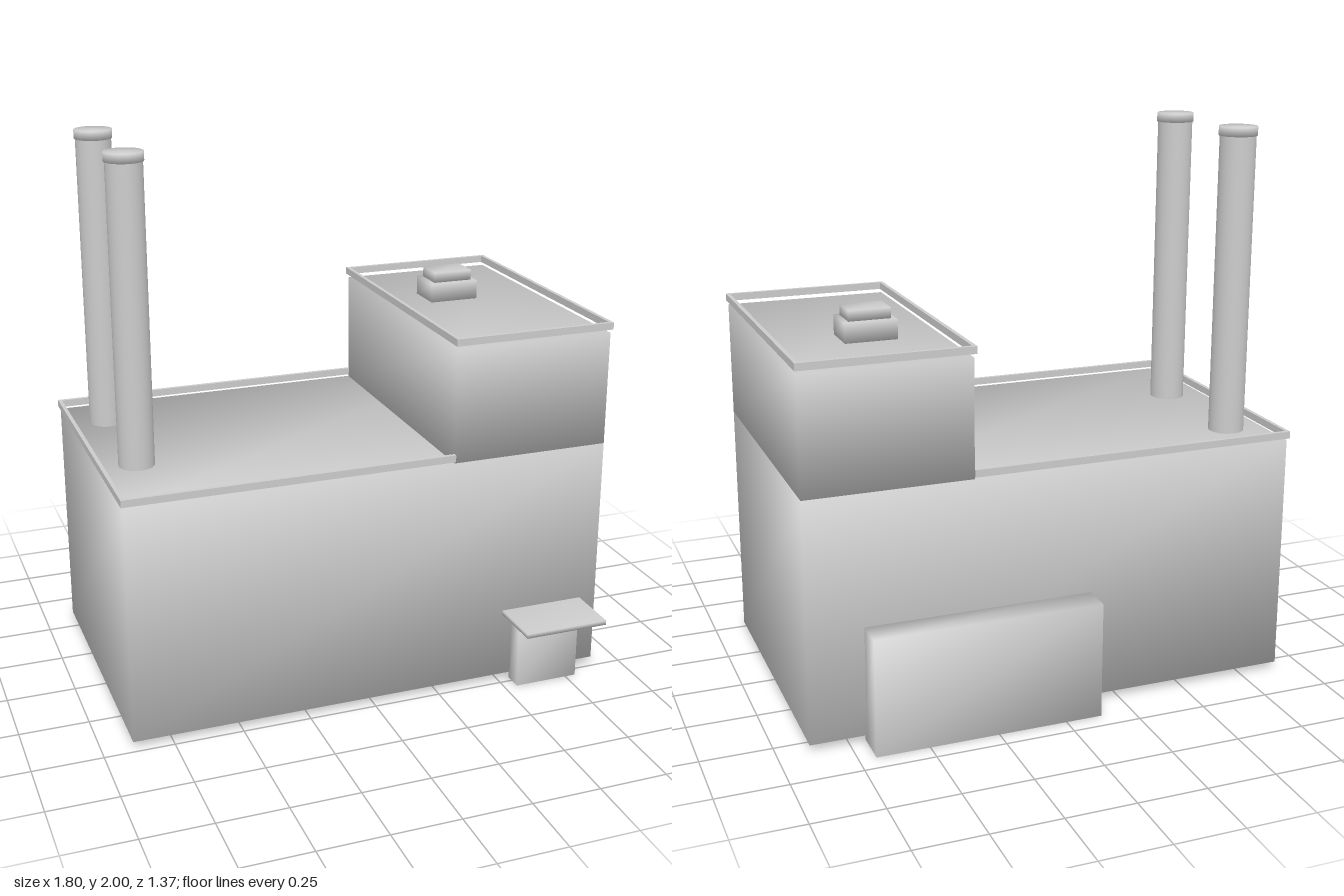
import * as THREE from 'three';
import { mergeVertices } from 'three/addons/utils/BufferGeometryUtils.js';

const material = new THREE.MeshStandardMaterial({ color: 0xcccccc });

// Weld all corners so shading runs smoothly across the edges
function smooth(geometry) {
  geometry.deleteAttribute('normal');
  geometry.deleteAttribute('uv');
  const welded = mergeVertices(geometry, 1e-4);
  welded.computeVertexNormals();
  return welded;
}

export function createModel() {
  const model = new THREE.Group();
  model.name = 'tankHousing';

  function add(name, geometry) {
    const mesh = new THREE.Mesh(geometry, material);
    mesh.name = name;
    model.add(mesh);
    return mesh;
  }

  // Box given by its limits along each axis
  function box(name, [x0, x1], [y0, y1], [z0, z1]) {
    const geometry = new THREE.BoxGeometry(x1 - x0, y1 - y0, z1 - z0);
    add(name, smooth(geometry)).position.set((x0 + x1) / 2, (y0 + y1) / 2, (z0 + z1) / 2);
  }

  function cylinder(name, radius, y0, y1, x, z) {
    const geometry = new THREE.CylinderGeometry(radius, radius, y1 - y0, 32);
    add(name, smooth(geometry)).position.set(x, (y0 + y1) / 2, z);
  }

  // Flat rail cut from an outline in x and z, lying at height y
  function rail(name, outline, y, hole) {
    const toPoints = (list) => list.map(([x, z]) => new THREE.Vector2(x, -z));
    const shape = new THREE.Shape(toPoints(outline));
    if (hole) shape.holes.push(new THREE.Path(toPoints(hole)));
    const geometry = new THREE.ExtrudeGeometry(shape, { depth: 0.026, bevelEnabled: false });
    geometry.rotateX(-Math.PI / 2);
    add(name, geometry).position.y = y;
  }

  const rect = (x0, x1, z0, z1) => [[x0, z0], [x0, z1], [x1, z1], [x1, z0]];
  const depth = [-0.573, 0.481];

  // Main body and raised compartment
  box('body', [-0.893, 0.89], [0.027, 0.898], depth);
  box('upperCompartment', [0.297, 0.89], [0.898, 1.316], depth);

  // Rail round three sides of the body, and a closed rail on the compartment
  rail('bodyRail', [
    [0.297, 0.49], [-0.9, 0.49], [-0.9, -0.582], [0.297, -0.582],
    [0.297, -0.568], [-0.886, -0.568], [-0.886, 0.476], [0.297, 0.476],
  ], 0.906);
  rail('compartmentRail', rect(0.289, 0.896, -0.582, 0.49), 1.33,
    rect(0.303, 0.882, -0.568, 0.476));

  // Two chimneys, running down through the floor of the body
  for (const z of [-0.373, 0.105]) {
    cylinder('chimney', 0.064, 0.024, 1.97, -0.755, z);
    cylinder('chimneyCap', 0.068, 1.968, 2, -0.755, z);
  }

  // Stepped hatch on the compartment
  box('hatchBase', [0.456, 0.642], [1.316, 1.387], [-0.25, -0.106]);
  box('hatchTop', [0.474, 0.624], [1.387, 1.425], [-0.233, -0.123]);

  // Front step with its shelf
  box('stepSupport', [0.547, 0.79], [0, 0.272], [0.475, 0.542]);
  box('stepShelf', [0.508, 0.826], [0.271, 0.288], [0.475, 0.683]);

  // Panel on the back wall
  box('backPanel', [-0.132, 0.69], [0, 0.425], [-0.683, -0.55]);

  return model;
}
